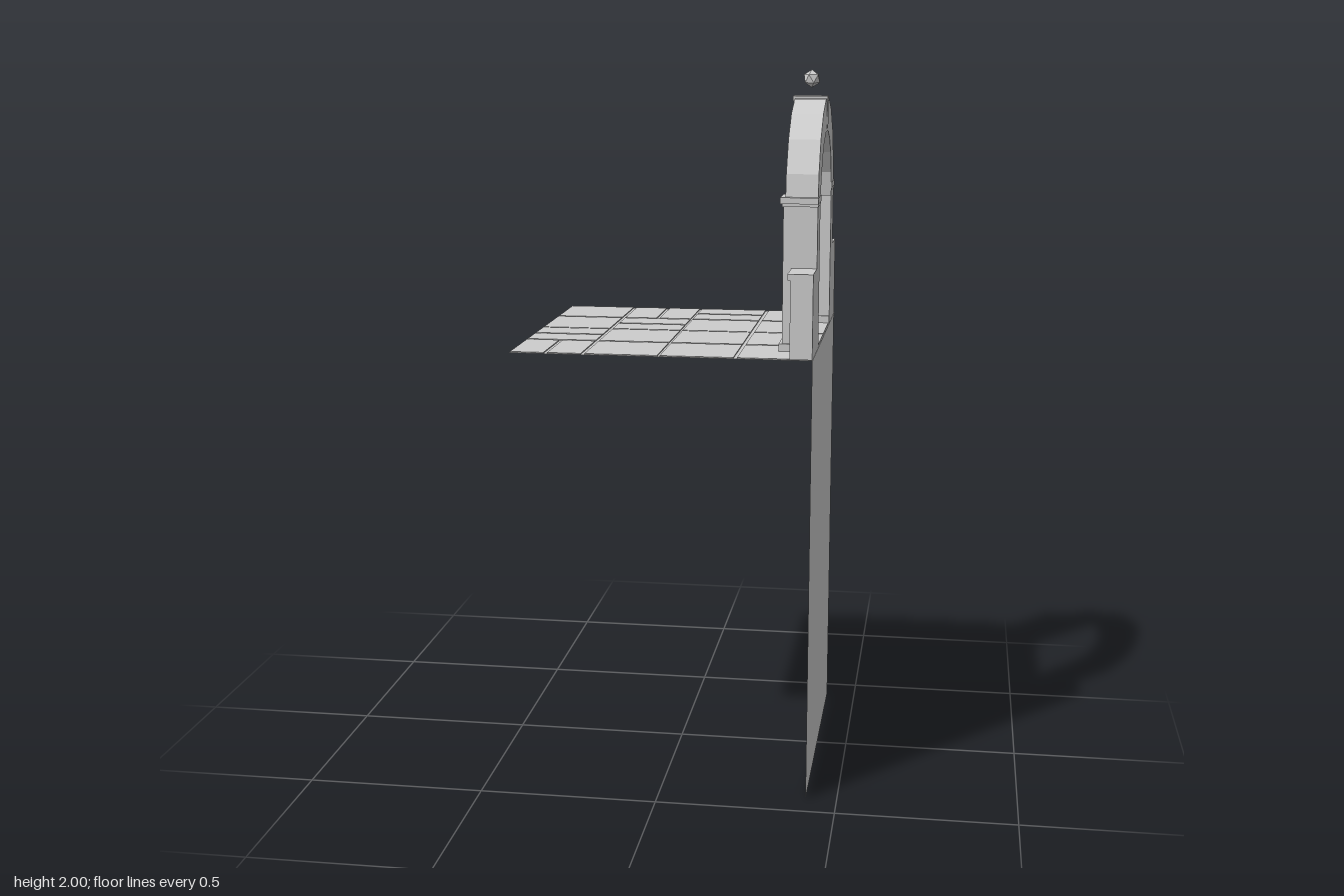
import * as THREE from 'three';

const stone = new THREE.MeshStandardMaterial({ color: 0xcccccc });
stone.name = 'greyStone';
const thinStone = new THREE.MeshStandardMaterial({ color: 0xcccccc, side: THREE.DoubleSide });
thinStone.name = 'greyStoneSheet';

const FLOOR = 1.25; // walking level
const OUT = 0.413; // outer face of wall and arch

export function createModel() {
  const model = new THREE.Group();
  model.name = 'archedTerrace';

  const add = (name, geometry, material = stone, parent = model) => {
    const mesh = new THREE.Mesh(geometry, material);
    mesh.name = name;
    parent.add(mesh);
    return mesh;
  };
  // box given by its limits on each axis
  const block = (name, [x0, x1], [y0, y1], [z0, z1], parent = model) => {
    const mesh = add(name, new THREE.BoxGeometry(x1 - x0, y1 - y0, z1 - z0), stone, parent);
    mesh.position.set((x0 + x1) / 2, (y0 + y1) / 2, (z0 + z1) / 2);
    return mesh;
  };

  // tall thin wall under the arch
  const wall = add('wall', new THREE.PlaneGeometry(0.83, FLOOR), thinStone);
  wall.rotation.y = Math.PI / 2;
  wall.position.set(OUT, FLOOR / 2, 0);

  // floor sheet with slightly raised paving
  const floor = add('floor', new THREE.PlaneGeometry(0.83, 0.83), thinStone);
  floor.rotation.x = -Math.PI / 2;
  floor.position.y = FLOOR - 0.002;

  const paving = new THREE.Group();
  paving.name = 'paving';
  model.add(paving);
  const cols = [[-0.413, -0.216], [-0.206, -0.006], [0.001, 0.201], [0.211, 0.411]];
  const rows = [[-0.413, -0.214], [-0.204, -0.006], [0.002, 0.201], [0.211, 0.411]];
  const splits = { '1,0': 'x', '2,0': 'z', '1,1': 'z', '0,2': 'z', '0,3': 'x' };
  const halves = ([a, b]) => [[a, (a + b) / 2 - 0.005], [(a + b) / 2 + 0.005, b]];
  cols.forEach((cx, i) => rows.forEach((cz, j) => {
    const split = splits[`${i},${j}`];
    const xs = split === 'x' ? halves(cx) : [cx];
    const zs = split === 'z' ? halves(cz) : [cz];
    for (const x of xs) for (const z of zs) block('tile', x, [FLOOR - 0.002, FLOOR + 0.001], z, paving);
  }));

  // pillars and parapet stubs, mirrored front and back
  for (const s of [1, -1]) {
    const span = (a, b) => (s > 0 ? [a, b] : [-b, -a]);
    const side = s > 0 ? 'front' : 'back';
    block(side + 'PillarBase', [0.312, OUT], [FLOOR, 1.272], span(0.2, 0.3));
    block(side + 'Pillar', [0.32, OUT], [FLOOR, 1.65], span(0.208, 0.295));
    block(side + 'CapitalLower', [0.316, 0.414], [1.645, 1.655], span(0.203, 0.299));
    block(side + 'CapitalUpper', [0.311, 0.415], [1.653, 1.67], span(0.199, 0.303));
    block(side + 'Parapet', [0.352, OUT], [FLOOR, 1.47], span(0.294, 0.415));
    block(side + 'ParapetCap', [0.344, OUT], [1.462, 1.479], span(0.294, 0.415));
  }

  // faceted semicircular arch, nine segments
  const arc = (r) => Array.from({ length: 10 }, (_, i) => {
    const a = (i / 9) * Math.PI;
    return new THREE.Vector2(r * Math.cos(a), r * Math.sin(a));
  });
  const archShape = new THREE.Shape([...arc(0.295), ...arc(0.203).reverse()]);
  const archGeo = new THREE.ExtrudeGeometry(archShape, { depth: OUT - 0.325, bevelEnabled: false });
  archGeo.rotateY(Math.PI / 2);
  add('arch', archGeo).position.set(0.325, 1.63, 0);

  // keystone with its cap and finial ball
  block('keystone', [0.322, 0.414], [1.838, 1.917], [-0.022, 0.022]);
  block('keystoneCap', [0.318, 0.415], [1.913, 1.928], [-0.025, 0.025]);
  const ballGeo = new THREE.IcosahedronGeometry(0.025, 0);
  ballGeo.rotateZ(Math.atan(2 / (1 + Math.sqrt(5)))); // one corner points up
  add('finial', ballGeo).position.set(0.368, 1.975, 0);

  return model;
}
